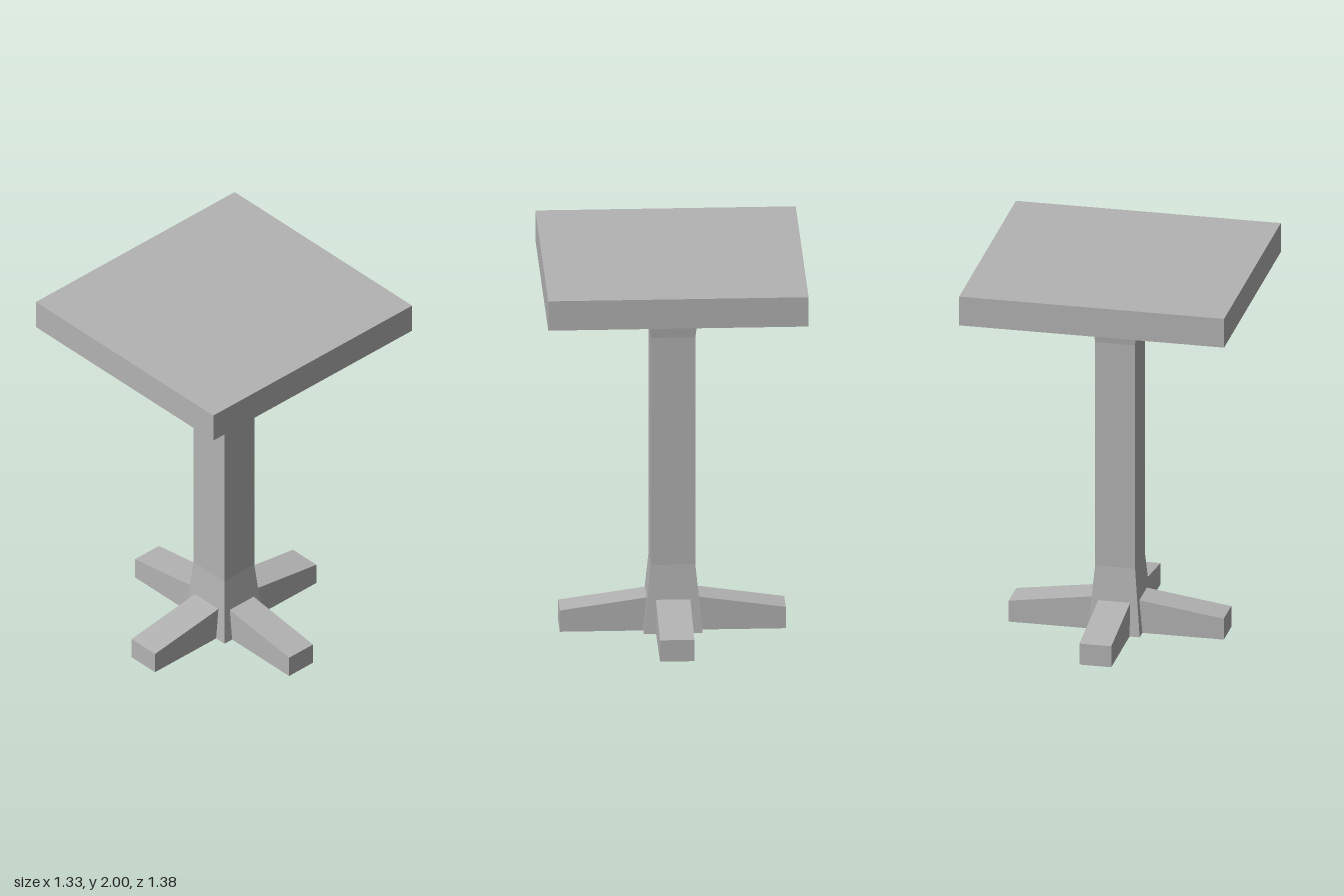
import * as THREE from 'three';

// Rectangular column lofted through levels of [y, halfWidthX, halfWidthZ]
function loftedBox(levels) {
  const n = levels.length - 1;
  const box = new THREE.BoxGeometry(2, n, 2, 1, n, 1);
  const p = box.attributes.position;
  for (let i = 0; i < p.count; i++) {
    const [y, hx, hz] = levels[Math.round(p.getY(i) + n / 2)];
    p.setXYZ(i, p.getX(i) * hx, y, p.getZ(i) * hz);
  }
  const flat = box.toNonIndexed();
  flat.computeVertexNormals();
  return flat;
}

// Foot running along +x, its top sloping down to the tip
function footGeometry(length, width) {
  const inner = 0.1;
  const slope = 0.142;
  const side = new THREE.Shape([
    new THREE.Vector2(inner, 0),
    new THREE.Vector2(length, 0),
    new THREE.Vector2(length, 0.115),
    new THREE.Vector2(inner, 0.115 + (length - inner) * slope),
  ]);
  return new THREE.ExtrudeGeometry(side, { depth: width, bevelEnabled: false })
    .translate(0, 0, -width / 2);
}

export function createModel() {
  const model = new THREE.Group();
  model.name = 'pedestalTable';
  const grey = new THREE.MeshStandardMaterial({ color: 0xb3b3b3 });
  grey.name = 'grey';

  const add = (name, geometry) => {
    const mesh = new THREE.Mesh(geometry, grey);
    mesh.name = name;
    model.add(mesh);
    return mesh;
  };

  // Slab top
  add('tableTop', new THREE.BoxGeometry(1.325, 0.158, 1.38)).position.y = 1.921;

  // Post, flared at both ends
  add('post', loftedBox([
    [0, 0.15, 0.136],
    [0.36, 0.114, 0.104],
    [1.585, 0.114, 0.104],
    [1.842, 0.146, 0.132],
  ]));

  // Four feet in a cross
  ['leftFoot', 'backFoot', 'rightFoot', 'frontFoot'].forEach((name, i) => {
    const alongX = i % 2 === 0;
    const foot = add(name, footGeometry(alongX ? 0.575 : 0.56, alongX ? 0.166 : 0.175));
    foot.rotation.y = i * Math.PI / 2;
  });

  return model;
}
